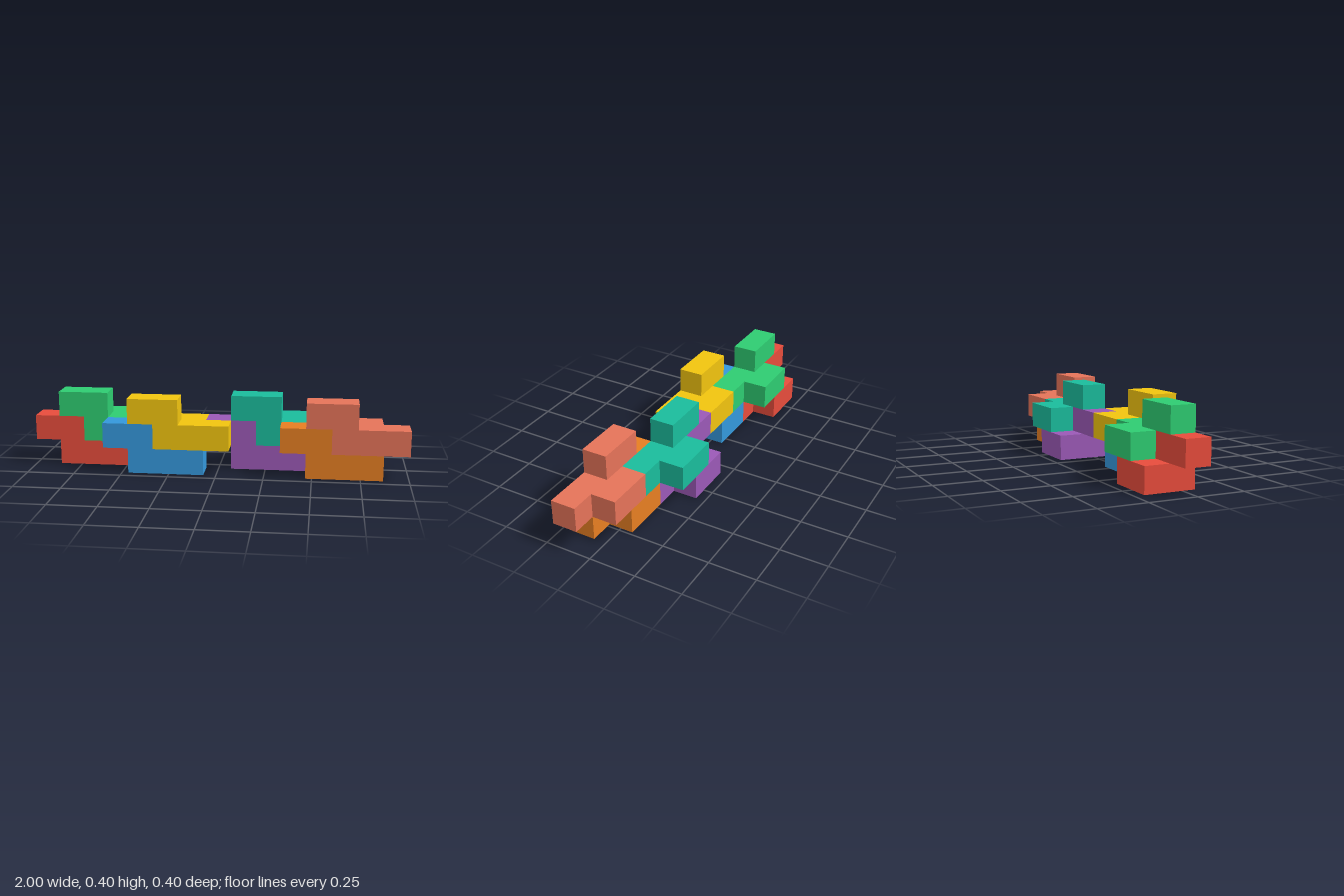
import * as THREE from 'three';

const U = 2 / 15; // edge of one unit cube

// Stepped front slab: two cubes on top, three below shifted one cube along x
function slabGeometry() {
  const outline = [[0, 1], [1, 1], [1, 0], [4, 0], [4, 1], [3, 1], [3, 1], [2 + 1, 1], [2 + 1, 1], [2, 1], [2, 2], [0, 2]];
  const corners = [...outline.slice(0, 5), ...outline.slice(9)];
  corners[5] = [2, 1];
  const shape = new THREE.Shape(corners.map(([x, y]) => new THREE.Vector2(x * U, y * U)));
  return new THREE.ExtrudeGeometry(shape, { depth: U, bevelEnabled: false });
}

// Two-cube block behind the slab's lower row
function rearGeometry() {
  return new THREE.BoxGeometry(2 * U, U, U).translate(2 * U, U / 2, -U / 2);
}

// Colour and cell position (x, y, z of the slab) of each interlocking piece
const PIECES = [
  ['red', 0xe74c3c, 0, 0, 1],
  ['green', 0x2ecc71, 1, 1, 1],
  ['blue', 0x3498db, 3, 0, 2],
  ['yellow', 0xf1c40f, 4, 1, 2],
  ['purple', 0x9b59b6, 7, 0, 1],
  ['teal', 0x1abc9c, 8, 1, 1],
  ['orange', 0xe67e22, 10, 0, 2],
  ['salmon', 0xe57359, 11, 1, 2],
];

export function createModel() {
  const model = new THREE.Group();
  model.name = 'interlockingBlocks';
  const slab = slabGeometry();
  const rear = rearGeometry();

  for (const [name, color, x, y, z] of PIECES) {
    const material = new THREE.MeshStandardMaterial({ color });
    const piece = new THREE.Group();
    piece.name = name + 'Piece';
    const front = new THREE.Mesh(slab, material);
    front.name = name + 'SteppedSlab';
    const back = new THREE.Mesh(rear, material);
    back.name = name + 'RearBlock';
    piece.add(front, back);
    piece.position.set(-1 + x * U, y * U, (z - 1.5) * U);
    model.add(piece);
  }
  return model;
}
